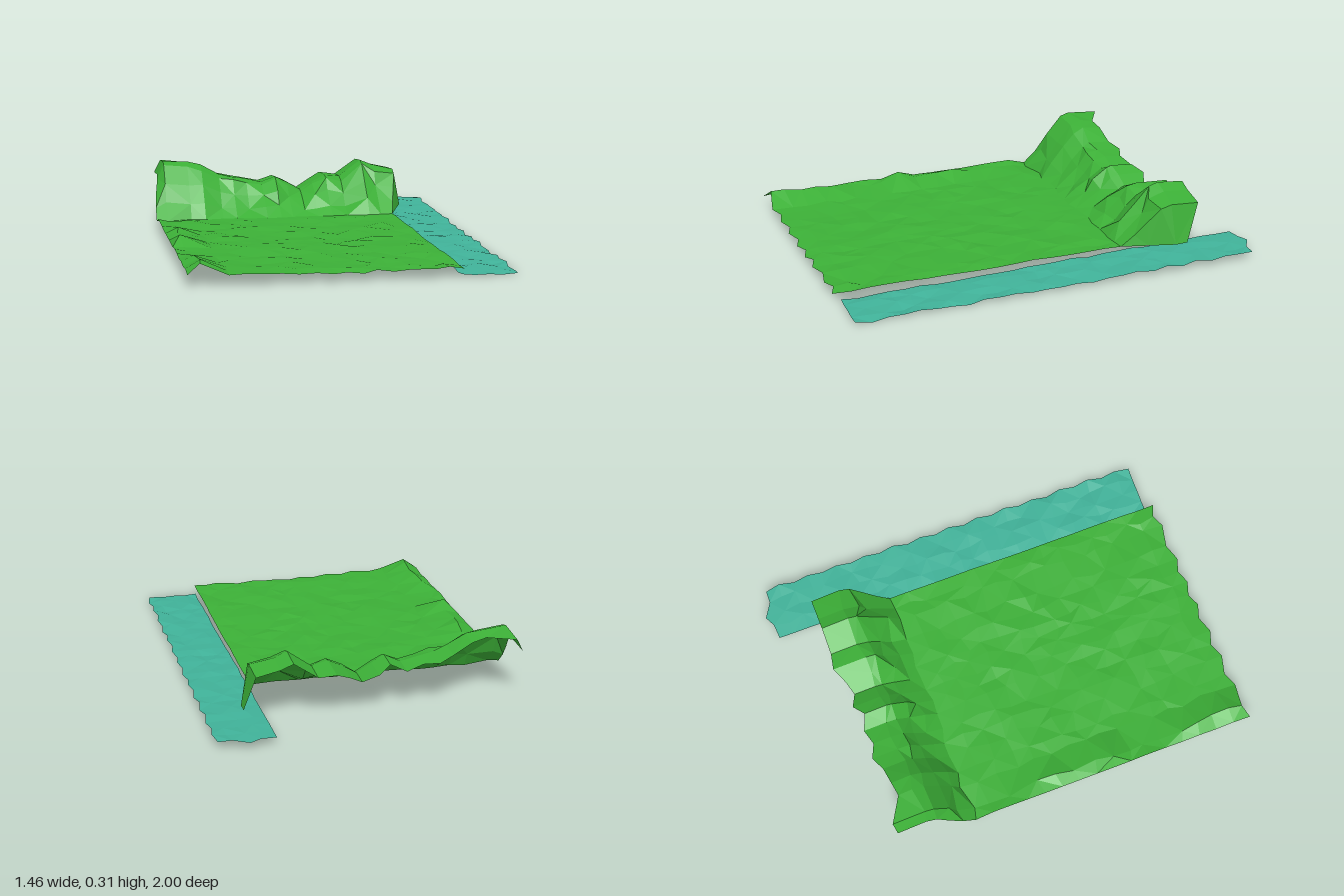
import * as THREE from 'three';

// Ridge along the back of the meadow: [x, crest height, z of the ragged lip]
const RIDGE = [
  [-0.735, 0.25, -0.77], [-0.68, 0.315, -0.78], [-0.56, 0.31, -0.71], [-0.49, 0.295, -0.72],
  [-0.4, 0.245, -0.73], [-0.33, 0.225, -0.76], [-0.26, 0.215, -0.73], [-0.18, 0.195, -0.75],
  [-0.11, 0.225, -0.72], [-0.05, 0.195, -0.76], [0.02, 0.155, -0.73], [0.08, 0.19, -0.75],
  [0.15, 0.225, -0.785], [0.23, 0.215, -0.77], [0.34, 0.295, -0.77], [0.4, 0.27, -0.77], [0.46, 0.245, -0.77],
];
// Cross-section of the ridge: [z, share of crest height]
const SLOPE = [[-0.4, 0], [-0.46, 0.27], [-0.52, 0.6], [-0.58, 0.92], [-0.63, 1], [-0.77, 0.95]];
// Bumps along the left border: [z, height]
const BUMPS = [[1, 0.1], [0.94, 0.12], [0.85, 0.1], [0.75, 0.1], [0.5, 0.06], [0.4, 0.07],
  [0.3, 0.115], [0.2, 0.07], [0.03, 0.095], [-0.1, 0.07], [-0.4, 0.06]];
const FLAT_ROWS = 16;
const BASE = 0.05;

// Repeatable noise in -1..1
const noise = (i, j, k = 0) => {
  const s = Math.sin(i * 127.1 + j * 311.7 + k * 74.7) * 43758.5453;
  return (s - Math.floor(s)) * 2 - 1;
};

// Piecewise linear lookup for falling keys
function lookup(table, key) {
  for (let i = 1; i < table.length; i++) {
    const [a, va] = table[i - 1], [b, vb] = table[i];
    if (key >= b) return va + (vb - va) * ((key - a) / (b - a));
  }
  return table[table.length - 1][1];
}

// Faceted sheet from a grid of points, diagonals alternating
function sheet(name, cols, rows, point, color) {
  const pos = [], index = [];
  for (let j = 0; j < rows; j++) {
    for (let i = 0; i < cols; i++) pos.push(...point(i, j));
  }
  for (let j = 0; j < rows - 1; j++) {
    for (let i = 0; i < cols - 1; i++) {
      const a = j * cols + i, b = a + 1, c = a + cols, d = c + 1;
      if ((i + j) % 2) index.push(a, b, d, a, d, c);
      else index.push(a, b, c, b, d, c);
    }
  }
  const geo = new THREE.BufferGeometry();
  geo.setAttribute('position', new THREE.Float32BufferAttribute(pos, 3));
  geo.setIndex(index);
  geo.computeVertexNormals();
  const mesh = new THREE.Mesh(geo, new THREE.MeshStandardMaterial({
    color, flatShading: true, side: THREE.DoubleSide,
  }));
  mesh.name = name;
  return mesh;
}

// Flat meadow that sweeps up into the ridge at the back
function meadowPoint(i, j) {
  const [x, top, lip] = RIDGE[i];
  const last = RIDGE.length - 1;
  const inner = i > 0 && i < last;
  const ground = BASE + 0.008 * (x / 0.7) ** 2 * (x < 0 ? 1 : 0) + 0.006 * noise(i, j);
  if (j < FLAT_ROWS) {
    let z = 1 - j * 1.4 / FLAT_ROWS;
    if (j === 0) z -= i % 2 ? 0.025 : 0;
    else z += inner ? 0.02 * noise(i, j, 1) : 0;
    let y = ground;
    if (i === 0) y = 0.072 + 0.006 * noise(i, j);
    if (i === 1) y = lookup(BUMPS, z);
    return [x + (inner && j ? 0.015 * noise(i, j, 2) : 0), y, z];
  }
  const k = j - FLAT_ROWS;
  const [sz, f] = SLOPE[k];
  const edge = k === SLOPE.length - 1;
  let px = x;
  if (i === 0) px += 0.025 * f * f;
  if (i === last) px += 0.05 * f;
  const z = edge ? lip : sz + (inner ? 0.018 * noise(i, j, 1) : 0);
  const wobble = inner && !edge && f > 0 && f < 1 ? 0.012 * noise(i, j, 3) : 0;
  return [px, BASE + (top - BASE) * f + wobble, z];
}

// Wall closing the right end of the ridge
function endPoint(i, j) {
  const upper = meadowPoint(RIDGE.length - 1, FLAT_ROWS + j);
  const t = j / (SLOPE.length - 1);
  const lower = [0.46 + 0.09 * Math.min(1, t * 1.25), BASE + 0.01 * t, -0.4 - 0.3 * t];
  return i ? lower : upper;
}

// Shallow stream, rising gently to the back
const STREAM_COLS = 5, STREAM_ROWS = 27;
function streamPoint(i, j) {
  const u = i / (STREAM_COLS - 1), v = j / (STREAM_ROWS - 1);
  const back = [-0.97, -0.975, -1, -0.957, -0.955];
  const inner = i > 0 && i < STREAM_COLS - 1;
  const x = 0.462 + 0.25 * u + 0.01 * u * v
    + (inner ? 0.012 * noise(i, j, 5) : 0) + (u === 1 ? (j % 2 ? 0.007 : -0.007) : 0);
  let z = 0.96 + 0.01 * u - 1.93 * v + (inner && j ? 0.012 * noise(i, j, 6) : 0);
  if (j === STREAM_ROWS - 1) z = back[i];
  const y = 0.011 + 0.031 * v + 0.008 * noise(i, j, 7) * (1 - 0.5 * v);
  return [x, Math.max(0.002, y), z];
}

export function createModel() {
  const group = new THREE.Group();
  group.name = 'meadowWithStream';
  const green = 0x3cb037, teal = 0x40b299;
  group.add(
    sheet('meadow', RIDGE.length, FLAT_ROWS + SLOPE.length, meadowPoint, green),
    sheet('ridgeEnd', 2, SLOPE.length, endPoint, green),
    sheet('stream', STREAM_COLS, STREAM_ROWS, streamPoint, teal),
  );
  return group;
}
